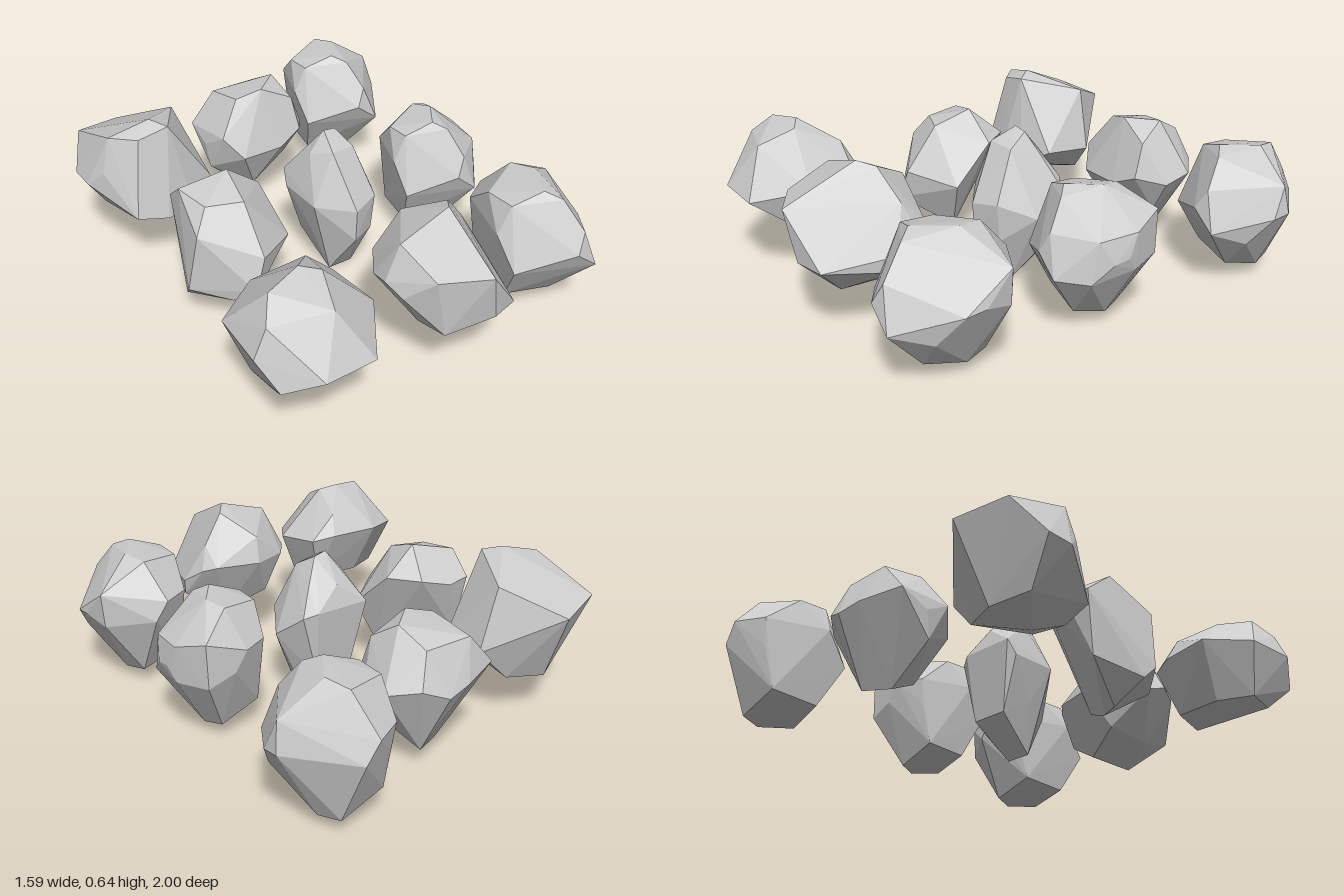
import * as THREE from 'three';
import { ConvexGeometry } from 'three/addons/geometries/ConvexGeometry.js';

const stone = new THREE.MeshStandardMaterial({ color: 0xcccccc, flatShading: true });

// A faceted rock: the hull around a crown, a belt and a foot loop of corners (x, y, z)
function rock(name, crown, belt, foot, place = (p) => p) {
  const corners = [...crown, ...belt, ...foot].map(([x, y, z]) => place(new THREE.Vector3(x, y, z)));
  const mesh = new THREE.Mesh(new ConvexGeometry(corners), stone);
  mesh.name = name;
  return mesh;
}

// The left column repeats one rock, squeezed in x and z, with its own shoulder corners
function leftRock(name, scaleX, scaleZ, backZ, shoulder) {
  return rock(name,
    [[.6, .555, .59], [.51, .557, .735], [.56, .53, .79], [.385, .515, .7], [.385, .51, .57], [.568, .54, .49]],
    [[.787, .33, .6], [.785, .32, .68], [.557, .34, .905], [.6, .42, .88], [.66, .26, .905],
      [.333, .4, .69], [.42, .4, .434], [.43, .29, .45], [.536, .4, .365], [.59, .32, .37], ...shoulder],
    [[.634, .05, .59], [.6, .075, .743], [.396, .1, .7], [.345, .27, .79], [.72, .21, .76],
      [.6, .06, .495], [.42, .12, .5]],
    (p) => p.set(.33 + (p.x - .33) * scaleX, p.y, backZ + (p.z - .365) * scaleZ));
}

export function createModel() {
  const group = new THREE.Group();
  group.name = 'rocks';
  group.add(
    // Left column
    leftRock('frontLeftRock', 1, 1, .37, [[.77, .443, .49], [.76, .3, .49]]),
    leftRock('middleLeftRock', .93, .815, -.205,
      [[.715, .46, .38], [.71, .28, .38], [.775, .42, .545], [.77, .27, .55], [.755, .41, .74], [.755, .25, .78]]),
    leftRock('backLeftRock', 1, .926, -1, [[.77, .443, .62]]),

    // Middle column
    rock('frontMiddleRock',
      [[.065, .638, .71], [.11, .617, .65], [-.155, .57, .72], [-.13, .5, .9], [.045, .506, .995],
        [.02, .53, .5], [.214, .5, .61]],
      [[-.198, .4, .8], [-.22, .438, .725], [-.2, .41, .63], [-.12, .42, .52], [.03, .42, .466],
        [.214, .42, .52], [.256, .4, .57], [.293, .336, .67], [.285, .27, .68], [.21, .3, .935]],
      [[.09, .306, .97], [-.08, .25, .9], [.065, .14, .8], [-.08, .217, .75], [.12, .17, .62], [-.05, .25, .55]]),
    rock('centreRock',
      [[.024, .62, -.01], [.08, .61, -.016], [.11, .56, .07], [0, .57, .09], [-.05, .54, 0],
        [.14, .51, -.06], [.04, .51, -.11]],
      [[-.087, .42, -.137], [.15, .42, -.137], [.2, .4, -.106], [.24, .3, .03], [.156, .36, .164],
        [.04, .34, .206], [-.1, .36, .106], [-.1, .36, -.1]],
      [[0, 0, .07], [.11, 0, .07], [.16, .1, 0], [-.06, .2, .02], [.15, .2, .15], [.04, .2, .2],
        [-.03, .13, -.1], [.13, .13, -.1]]),
    rock('backMiddleRock',
      [[.055, .565, -.54], [.17, .565, -.64], [-.055, .535, -.57], [-.066, .5, -.757], [.14, .5, -.757], [.2, .49, -.525]],
      [[-.18, .37, -.76], [-.013, .35, -.82], [.09, .33, -.836], [.19, .37, -.8], [.288, .35, -.71],
        [.288, .32, -.59], [.214, .35, -.48], [.1, .3, -.455], [-.087, .3, -.455], [-.156, .39, -.52], [-.18, .32, -.64]],
      [[-.01, .055, -.65], [.1, .065, -.7], [-.17, .21, -.62], [.2, .18, -.6], [0, .11, -.54]]),

    // Right column
    rock('frontRightRock',
      [[-.694, .6, .725], [-.55, .62, .68], [-.48, .6, .72], [-.75, .53, .8], [-.525, .54, .86], [-.43, .53, .545]],
      [[-.8, .42, .8], [-.63, .36, .968], [-.42, .35, .955], [-.282, .4, .746], [-.314, .42, .545],
        [-.404, .44, .5], [-.61, .45, .466], [-.785, .42, .57], [-.75, .31, .88]],
      [[-.36, .2, .75], [-.7, .21, .77], [-.72, .22, .64], [-.58, .22, .58], [-.38, .22, .6]]),
    rock('middleRightRock',
      [[-.4, .565, -.05], [-.56, .51, .06], [-.42, .51, .11], [-.59, .52, -.095]],
      [[-.573, .43, -.206], [-.47, .42, -.217], [-.346, .45, -.18], [-.255, .45, -.06], [-.23, .29, .116],
        [-.42, .33, .25], [-.467, .2, .265], [-.625, .42, .106], [-.657, .17, .07]],
      [[-.33, .08, .08], [-.44, .025, .02], [-.51, .035, 0], [-.64, .12, .02], [-.53, .14, .19], [-.55, .18, -.16]]),
    rock('backRightRock',
      [[-.7, .6, -.466], [-.48, .625, -.375], [-.53, .645, -.44], [-.61, .6, -.38], [-.346, .57, -.61],
        [-.51, .47, -.825], [-.71, .5, -.76]],
      [[-.784, .38, -.645], [-.784, .38, -.53], [-.74, .45, -.46], [-.67, .28, -.32], [-.54, .25, -.3],
        [-.41, .25, -.33], [-.29, .32, -.4], [-.275, .31, -.6]],
      [[-.55, .17, -.69], [-.4, .18, -.63], [-.55, .16, -.48], [-.68, .21, -.62]]),
  );
  return group;
}
